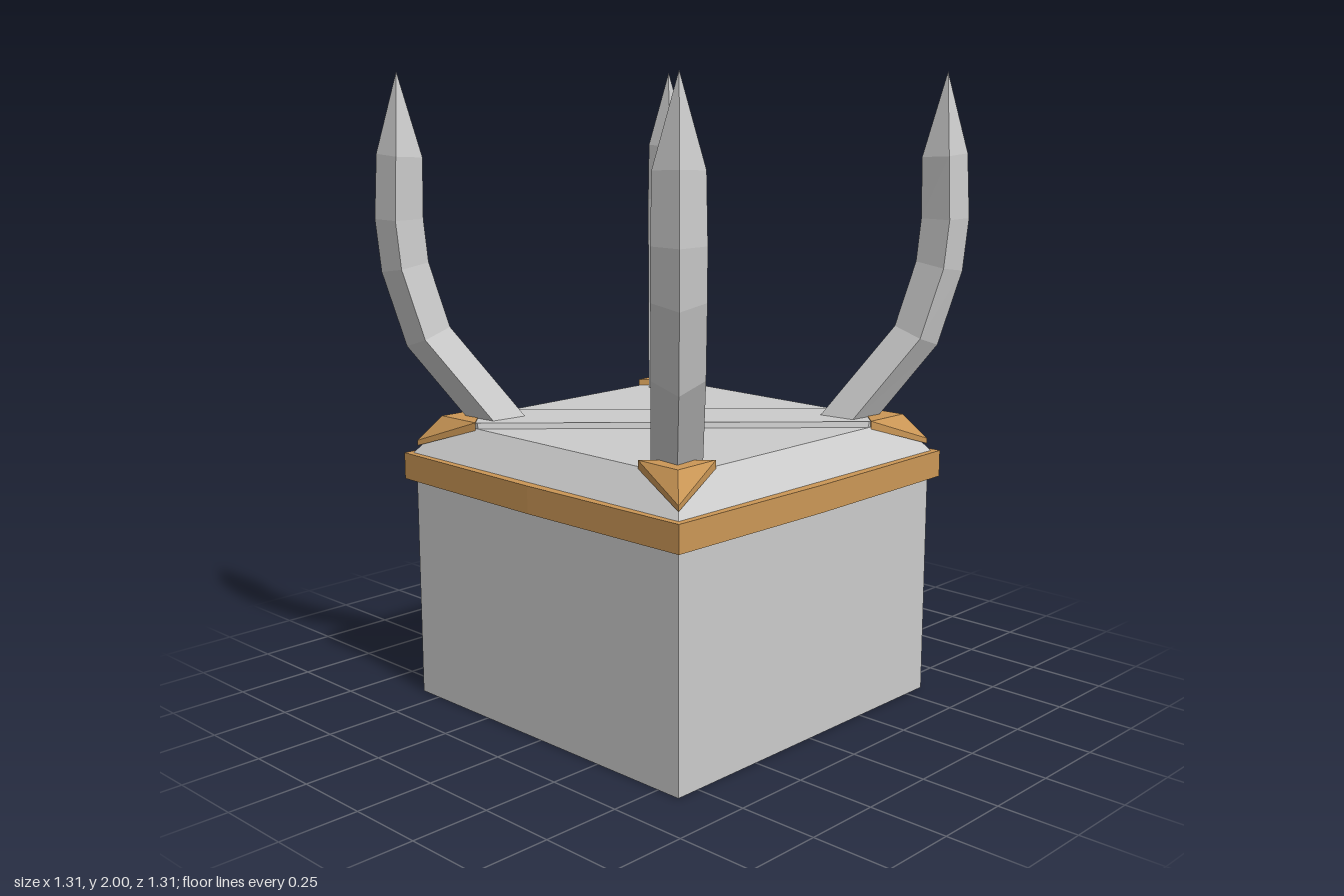
import * as THREE from 'three';
import { ConvexGeometry } from 'three/addons/geometries/ConvexGeometry.js';

const grey = new THREE.MeshStandardMaterial({ color: 0xcccccc, flatShading: true, side: THREE.DoubleSide });
const orange = new THREE.MeshStandardMaterial({ color: 0xcb9756, flatShading: true, side: THREE.DoubleSide });

function part(name, geometry, material, parent) {
  const mesh = new THREE.Mesh(geometry, material);
  mesh.name = name;
  parent.add(mesh);
  return mesh;
}

// Four-sided open or capped frustum with axis-aligned walls; sizes are half widths
function frustum(top, bottom, y0, y1, open) {
  const g = new THREE.CylinderGeometry(top * Math.SQRT2, bottom * Math.SQRT2, y1 - y0, 4, 1, open);
  return g.rotateY(Math.PI / 4).translate(0, (y0 + y1) / 2, 0);
}

const hull = (points) => new ConvexGeometry(points.map((p) => new THREE.Vector3(...p)));

// Curved square horn lying in the local x-y plane, lofted from diamond rings
function hornGeometry(baseShift) {
  // [distance per axis, height, ring tilt, radial stretch]
  const rings = [
    [0.402 - baseShift, 0.9, 0, 1.25],
    [0.545, 1.18, -0.42, 1],
    [0.592, 1.4, -0.2, 1],
    [0.602, 1.55, 0, 1],
    [0.597, 1.745, 0.08, 0.95],
    [0.598, 2.0, 0, 0],
  ];
  const half = 0.075;
  const positions = [];
  const index = [];
  rings.forEach(([d, y, tilt, stretch], i) => {
    const radius = d * Math.SQRT2;
    for (let k = 0; k < 4; k++) {
      const a = (k * Math.PI) / 2;
      const radial = Math.cos(a) * half * stretch;
      const side = Math.sin(a) * half * Math.min(stretch, 1);
      positions.push(radius + radial * Math.cos(tilt), y + radial * Math.sin(tilt), side);
      if (i > 0) {
        const n = (k + 1) % 4;
        const p = (i - 1) * 4;
        const q = i * 4;
        index.push(p + k, q + k, p + n, p + n, q + k, q + n);
      }
    }
  });
  index.push(0, 1, 2, 0, 2, 3);
  const g = new THREE.BufferGeometry();
  g.setAttribute('position', new THREE.Float32BufferAttribute(positions, 3));
  g.setIndex(index);
  const flat = g.toNonIndexed();
  flat.computeVertexNormals();
  return flat;
}

export function createModel() {
  const model = new THREE.Group();
  model.name = 'hornedBox';

  // Open-bottomed box walls
  part('walls', frustum(0.58, 0.58, 0, 0.725, true), grey, model);

  // Rim band with slightly bowed sides
  const c = 0.607;
  const m = 0.617;
  const outline = [[c, c], [0, m], [-c, c], [-m, 0], [-c, -c], [0, -m], [c, -c], [m, 0]];
  const rim = new THREE.Shape(outline.map(([x, y]) => new THREE.Vector2(x, y)));
  const h = 0.579;
  rim.holes.push(new THREE.Path([[h, h], [h, -h], [-h, -h], [-h, h]].map(([x, y]) => new THREE.Vector2(x, y))));
  const rimGeometry = new THREE.ExtrudeGeometry(rim, { depth: 0.085, bevelEnabled: false });
  part('rim', rimGeometry.rotateX(-Math.PI / 2).translate(0, 0.72, 0), orange, model);

  // Sloped lid
  part('lid', frustum(0.51, 0.588, 0.803, 0.905, false), grey, model);

  // Raised strap running diagonally between two corners
  const strap = [];
  for (const [y, e] of [[0.9, 0.352], [0.923, 0.36]]) {
    for (const s of [1, -1]) {
      strap.push([s * e, y, -s * 0.508], [s * 0.508, y, -s * 0.508], [s * 0.508, y, -s * e]);
    }
  }
  part('diagonalStrap', hull(strap), grey, model);

  // Corner brackets and horns
  const bracket = hull([
    [0.36, 0.925, 0.515], [0.515, 0.925, 0.36], [0.52, 0.925, 0.52], [0.577, 0.845, 0.577],
    [0.36, 0.9, 0.515], [0.515, 0.9, 0.36], [0.577, 0.828, 0.577],
  ]);
  for (let k = 0; k < 4; k++) {
    const corner = new THREE.Group();
    corner.name = 'corner' + (k + 1);
    corner.rotation.y = (k * Math.PI) / 2;
    part('cornerBracket', bracket, orange, corner);
    // Horns on the strap reach slightly further inward
    const horn = part('horn', hornGeometry(k % 2 ? 0.015 : 0), grey, corner);
    horn.rotation.y = -Math.PI / 4;
    model.add(corner);
  }
  return model;
}
